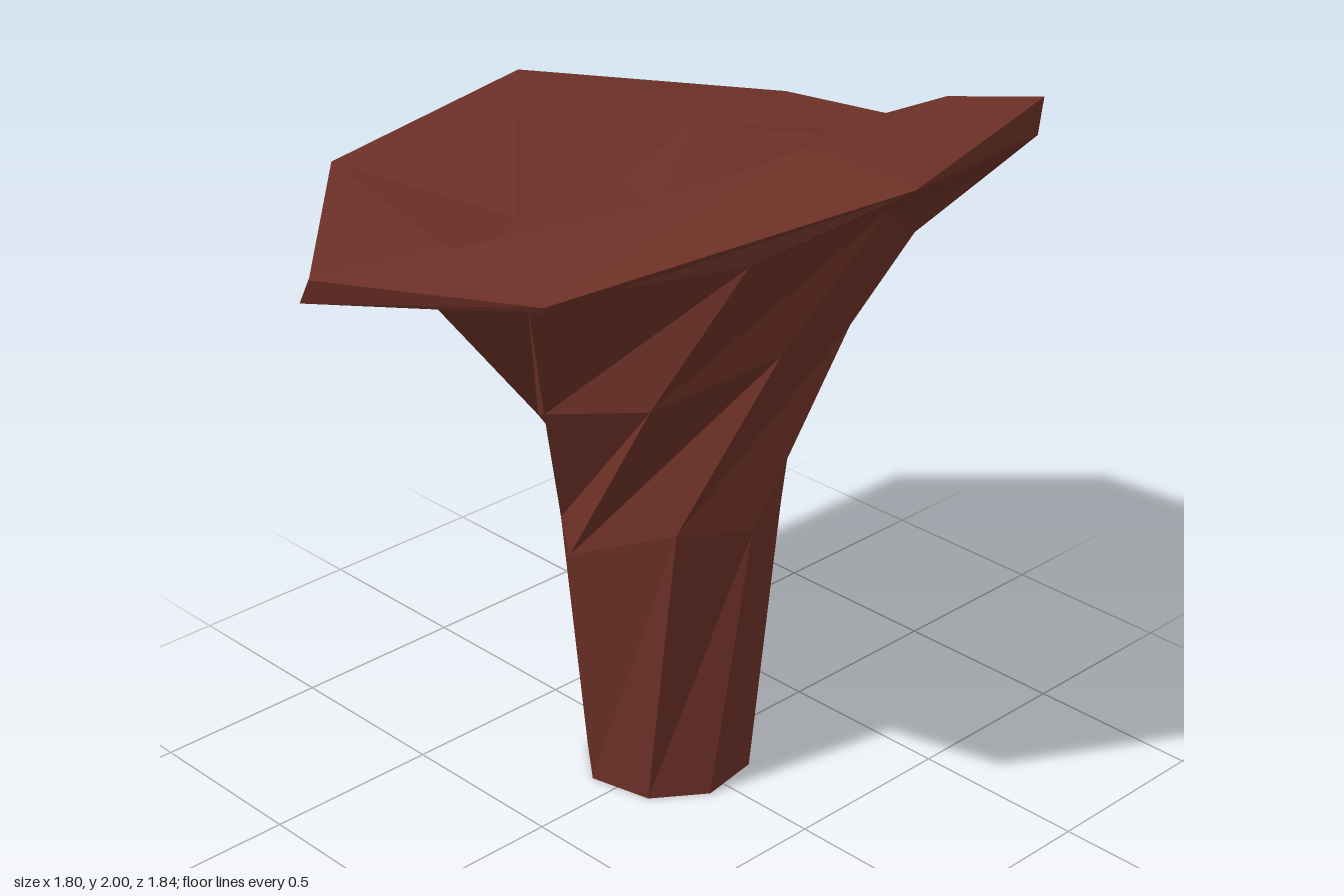
import * as THREE from 'three';

// Each ring has eight corners, running from the front towards +x and round the back.
const base = [[-.06, 0, .20], [.12, 0, .17], [.21, 0, .02], [.18, 0, -.16], [.04, 0, -.25], [-.13, 0, -.22], [-.24, 0, -.08], [-.20, 0, .10]];
const shaft = [[.03, .80, .26], [.23, .78, .17], [.28, .67, -.04], [.20, .70, -.25], [.03, .70, -.32], [-.17, .72, -.27], [-.31, .73, -.08], [-.19, .85, .20]];
const neck = [[.30, 1.34, .34], [.40, 1.14, .08], [.33, 1.03, -.18], [.10, .98, -.36], [-.20, 1.02, -.32], [-.39, 1.17, -.08], [-.33, 1.27, .25], [-.03, 1.38, .41]];
const collar = [[.54, 1.53, .34], [.57, 1.38, -.01], [.40, 1.44, -.47], [-.10, 1.42, -.63], [-.53, 1.43, -.32], [-.61, 1.61, .12], [-.30, 1.75, .56], [.17, 1.76, .57]];
const rimLow = [[.88, 1.57, .28], [.87, 1.52, -.37], [.35, 1.635, -.91], [-.35, 1.55, -.92], [-.88, 1.52, -.43], [-.84, 1.76, .44], [-.13, 1.985, .90], [.55, 1.90, .72]];
const rimHigh = [[.90, 1.68, .22], [.85, 1.64, -.43], [.28, 1.72, -.92], [-.41, 1.64, -.89], [-.90, 1.61, -.36], [-.85, 1.78, .45], [-.13, 2, .92], [.58, 1.99, .71]];
const dish = [[.52, 1.72, 0], [.45, 1.65, -.41], [.10, 1.61, -.31], [-.27, 1.61, -.31], [-.61, 1.65, -.10], [-.40, 1.87, .33], [.02, 1.93, .435], [.41, 1.99, .54]];

// Joins successive rings with faceted quads; a one-point ring closes the end.
function loft(rings) {
  const out = [];
  for (let r = 0; r < rings.length - 1; r++) {
    const a = rings[r], b = rings[r + 1];
    for (let i = 0; i < 8; i++) {
      const j = (i + 1) % 8;
      if (a.length === 1) out.push(a[0], b[j], b[i]);
      else if (b.length === 1) out.push(a[i], a[j], b[0]);
      else out.push(a[i], a[j], b[j], a[i], b[j], b[i]);
    }
  }
  const g = new THREE.BufferGeometry();
  g.setAttribute('position', new THREE.Float32BufferAttribute(out.flat(), 3));
  g.computeVertexNormals();
  return g;
}

export function createModel() {
  const group = new THREE.Group();
  const brown = new THREE.MeshStandardMaterial({ color: 0x6b3026, flatShading: true });
  brown.name = 'reddish brown';

  const add = (name, geometry) => {
    const mesh = new THREE.Mesh(geometry, brown);
    mesh.name = name;
    group.add(mesh);
  };

  // twisting stem with a closed foot
  const foot = loft([base, [[-.01, 0, -.02]]]);
  const p = foot.attributes.position;
  for (let i = 0; i < p.count; i += 3) { // turn the foot to face down
    const [x, z] = [p.getX(i), p.getZ(i)];
    p.setXYZ(i, p.getX(i + 1), 0, p.getZ(i + 1));
    p.setXYZ(i + 1, x, 0, z);
  }
  foot.computeVertexNormals();
  add('stemFoot', foot);
  add('stem', loft([base, shaft, neck, collar]));

  // flared cap: underside, thin rim and tilted hollow top
  add('capUnderside', loft([collar, rimLow]));
  add('capRim', loft([rimLow, rimHigh]));
  add('capTop', loft([rimHigh, dish, [[-.08, 1.68, 0]]]));
  return group;
}
